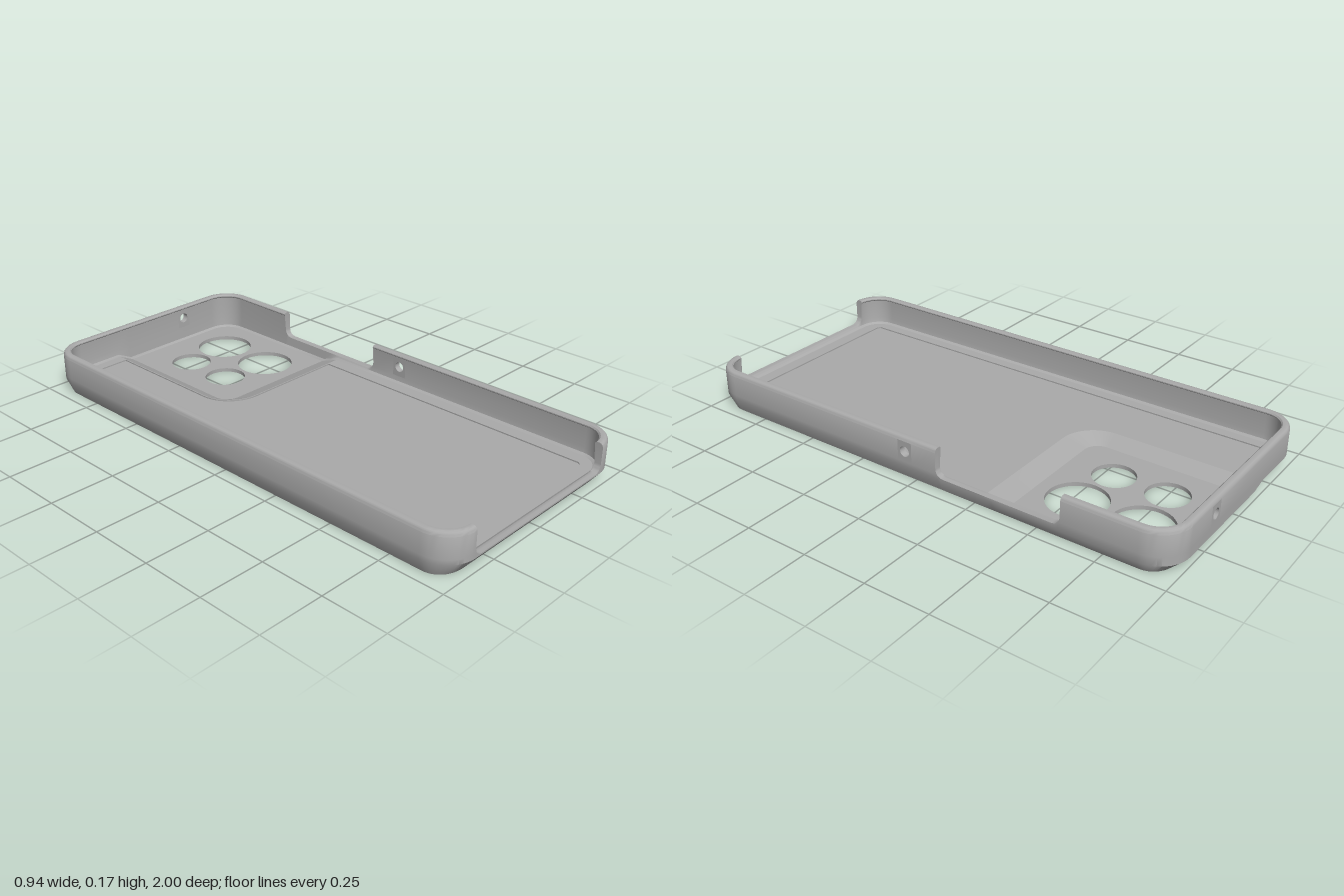
import * as THREE from 'three';
import { toCreasedNormals } from 'three/addons/utils/BufferGeometryUtils.js';

const W = 0.47, L = 1, R = 0.12, TOP = 0.165, SILL = 0.057;
const FLOOR = 0.045, PAD = 0.015, PANEL = 0.04, INSET = 0.04, WALL = 0.025;
const clamp = THREE.MathUtils.clamp;

// 0 on the main floor, 1 in the sunken camera area
const sunk = (x, z) => Math.min(clamp((x + 0.17) / 0.06, 0, 1), clamp((-0.29 - z) / 0.08, 0, 1));

// Rim heights across an opening with rounded lower corners
function opening(a, b, keys = []) {
  const dir = Math.sign(b - a), r = 0.03;
  const es = [0, 0.002, 0.005, 0.01, 0.018, 0.03];
  const h = e => SILL + r - Math.sqrt(r * r - (r - e) ** 2);
  return [[a, TOP], ...es.map(e => [a + dir * e, h(e)]), ...keys.map(k => [k, SILL]),
    ...es.slice().reverse().map(e => [b - dir * e, h(e)]), [b, TOP]];
}

// Perimeter samples: outer point, outward normal, rim height, hole marker
function perimeter() {
  const out = [];
  const corner = (cx, cz, start) => {
    for (let i = 1; i < 12; i++) {
      const a = start - (i / 12) * Math.PI / 2, nx = Math.cos(a), nz = Math.sin(a);
      out.push({ x: cx + nx * R, z: cz + nz * R, nx, nz, h: TOP });
    }
  };
  const q = Math.PI / 2, cx = W - R, cz = L - R;
  for (const [x, h] of opening(-cx, cx)) out.push({ x, z: L, nx: 0, nz: 1, h });
  corner(cx, cz, q);
  const right = [[cz, TOP], [0.065, TOP, true], [0.005, TOP], ...opening(-0.1, -0.6, [-0.29, -0.33, -0.37]), [-cz, TOP]];
  for (const [z, h, hole] of right) out.push({ x: W, z, nx: 1, nz: 0, h, hole });
  corner(cx, -cz, 0);
  for (const [x, hole] of [[cx], [0.22, true], [0.16], [-0.11], [-0.17], [-cx]])
    out.push({ x, z: -L, nx: 0, nz: -1, h: TOP, hole });
  corner(-cx, -cz, -q);
  for (const z of [-cz, cz]) out.push({ x: -W, z, nx: -1, nz: 0, h: TOP });
  corner(-cx, cz, 2 * q);
  return out;
}

const inset = (s, d) => [s.x - s.nx * d, s.z - s.nz * d];
const bottomInset = s => 0.02 + 0.02 * s.nz * s.nz;

// Wall cross-section at one sample, from the base up the outside and down the inside
function section(s) {
  const [ix, iz] = inset(s, INSET), t = sunk(ix, iz);
  const f = FLOOR + (PAD - FLOOR) * t;
  return [
    [bottomInset(s), 0], [0, 0.052 - 0.015 * t], [0, 0.07], [0, 0.15],
    [0.003, 0.158], [0.008, 0.163], [0.015, TOP], [0.026, 0.164], [0.031, 0.159], [0.031, 0.155],
    [WALL, 0.15], [WALL, 0.07], [0.029, f + 0.006], [INSET, f],
  ].map(([d, y]) => {
    const over = y > s.h;
    const [x, z] = inset(s, over ? clamp(d, 0, WALL) : d);
    return [x, over ? s.h : y, z];
  });
}

// Surface through rows of points, leaving out the quads that skip() names
function loft(rows, closed, skip = () => false) {
  const p = [], n = rows.length;
  for (let i = 0; i < (closed ? n : n - 1); i++) {
    const A = rows[i], B = rows[(i + 1) % n];
    for (let j = 0; j < A.length - 1; j++) {
      if (skip(i, j)) continue;
      p.push(...A[j], ...B[j], ...B[j + 1], ...A[j], ...B[j + 1], ...A[j + 1]);
    }
  }
  const g = new THREE.BufferGeometry();
  g.setAttribute('position', new THREE.Float32BufferAttribute(p, 3));
  return toCreasedNormals(g, 0.6);
}

// Flat plate from an [x, z] outline
function plate(outline, y, holes = [], up = true) {
  const k = up ? -1 : 1;
  const shape = new THREE.Shape(outline.map(([x, z]) => new THREE.Vector2(x, k * z)));
  shape.holes = holes.map(h => new THREE.Path(h.map(([x, z]) => new THREE.Vector2(x, k * z))));
  return new THREE.ShapeGeometry(shape).rotateX(k * Math.PI / 2).translate(0, y, 0);
}

// Line round the camera area, from the right wall to the back wall
function bend(x0, z0, r, xEnd = W - INSET, zEnd = -(L - INSET)) {
  const pts = [[xEnd, z0]];
  for (let i = 0; i <= 12; i++) {
    const a = (i / 12) * Math.PI / 2;
    pts.push([x0 + r - r * Math.sin(a), z0 - r + r * Math.cos(a)]);
  }
  return [...pts, [x0, zEnd]];
}

const circle = ([x, z, r]) => Array.from({ length: 48 }, (_, i) => {
  const a = (i / 48) * Math.PI * 2;
  return [x + r * Math.cos(a), z + r * Math.sin(a)];
});

export function createModel() {
  const group = new THREE.Group();
  const grey = new THREE.MeshStandardMaterial({ color: 0xaaaaaa, side: THREE.DoubleSide });
  grey.name = 'grey';
  const add = (name, geometry) => {
    const m = new THREE.Mesh(geometry, grey);
    m.name = name;
    group.add(m);
    return m;
  };

  // Wall with lip, chamfer and two openings; pierced panels fill the gaps left here
  const ring = perimeter();
  add('wall', loft(ring.map(section), true, (i, j) => ring[i].hole && (j === 2 || j === 10)));

  // Small round holes in the right and back walls
  const pierced = new THREE.Shape([[-0.03, -0.04], [0.03, -0.04], [0.03, 0.04], [-0.03, 0.04]]
    .map(([x, y]) => new THREE.Vector2(x, y)));
  pierced.holes.push(new THREE.Path().absarc(0, 0, 0.02, 0, Math.PI * 2, true));
  const piercedGeometry = new THREE.ExtrudeGeometry(pierced, { depth: WALL, bevelEnabled: false, curveSegments: 24 });
  const side = add('sideHole', piercedGeometry);
  side.rotation.y = Math.PI / 2;
  side.position.set(W - WALL, 0.11, 0.035);
  add('backHole', piercedGeometry).position.set(0.19, 0.11, -L);

  // Camera holes through the base
  const lenses = [[0.045, -0.76, 0.08], [0.045, -0.55, 0.08], [0.25, -0.78, 0.112], [0.25, -0.53, 0.112]];
  const lensOutlines = lenses.map(circle);
  add('base', plate(ring.map(s => inset(s, bottomInset(s))), 0, lensOutlines, false));
  for (const [x, z, r] of lenses)
    add('cameraHole', new THREE.CylinderGeometry(r, r, PAD, 48, 1, true).translate(x, PAD / 2, z));

  // Sunken camera area with its sloping border
  const outer = bend(-0.17, -0.29, 0.14), inner = bend(-0.11, -0.37, 0.06);
  const floorRing = ring.map(s => inset(s, INSET));
  const level = floorRing.map(([x, z]) => sunk(x, z));
  add('cameraFloor', plate([...floorRing.filter((_, i) => level[i] > 0.9999), ...inner.slice(1, -1).reverse()], PAD, lensOutlines));
  add('cameraSlope', loft(outer.map(([x, z], i) => [[x, FLOOR, z], [inner[i][0], PAD, inner[i][1]]]), false));

  // Main floor border round a slightly recessed panel
  const panel = [[-0.39, 0.9], [-0.38, 0.91], [0.37, 0.91], [0.38, 0.9], ...bend(-0.174, -0.286, 0.144, 0.38, -0.92),
    [-0.38, -0.92], [-0.39, -0.91]];
  const first = level.findIndex(t => t > 1e-6);
  const before = floorRing.slice(0, first);
  const after = floorRing.filter((_, i) => i > first && level[i] < 1e-6);
  add('floorBorder', plate([...before, ...outer.slice(1, -1), ...after], FLOOR, [panel]));
  add('floorPanel', plate(panel, PANEL));
  add('panelEdge', loft(panel.map(([x, z]) => [[x, FLOOR, z], [x, PANEL, z]]), true));
  return group;
}
